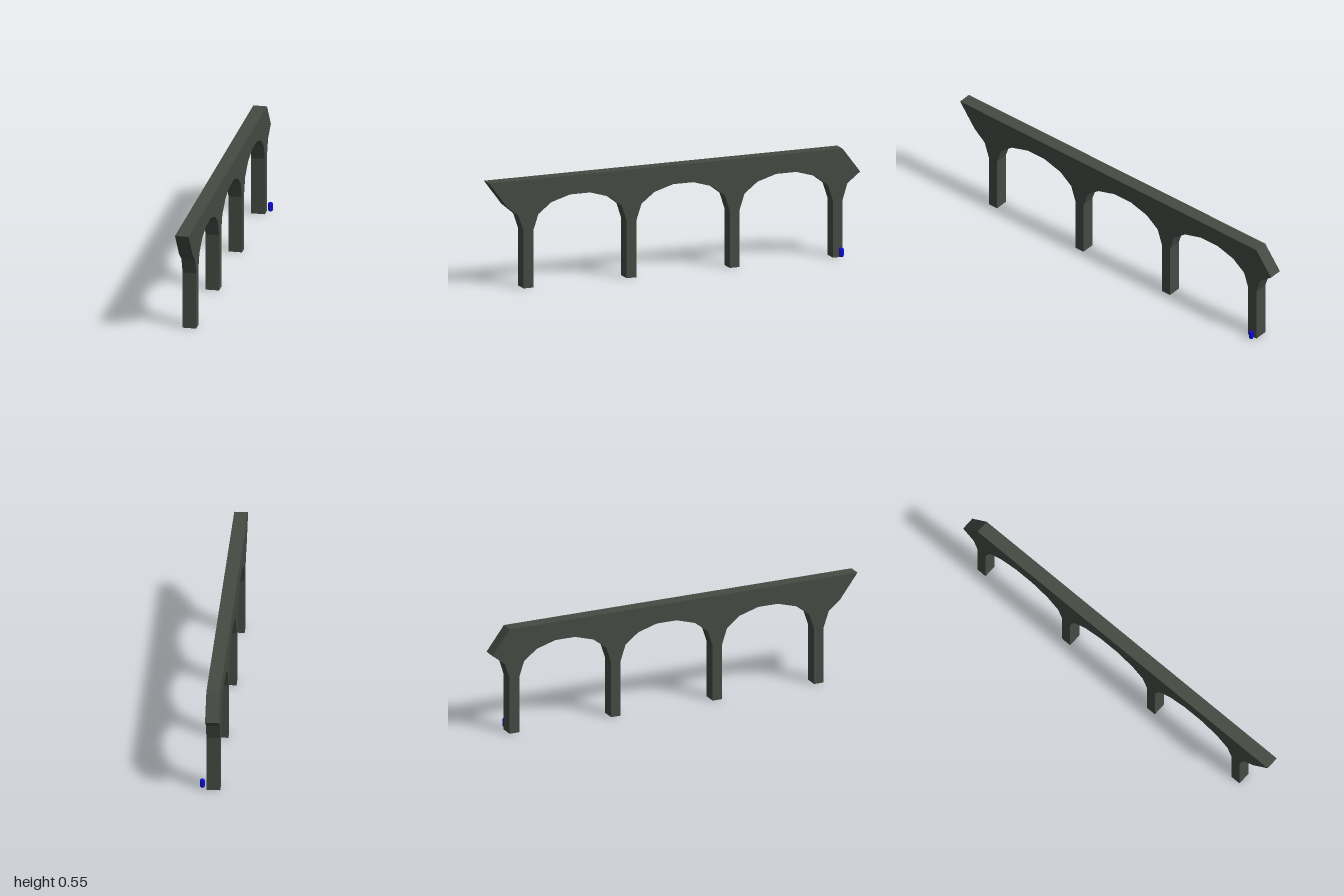
import * as THREE from 'three';

export function createModel() {
  const group = new THREE.Group();
  const stone = new THREE.MeshStandardMaterial({ color: 0x454a43 });
  stone.name = 'dark stone';
  const blue = new THREE.MeshStandardMaterial({ color: 0x0b0bdc });
  blue.name = 'blue';

  // Side profile of the viaduct: shape x runs along the model's z
  const pierWidth = 0.053, span = 0.556, firstPier = 0.815, lastPier = firstPier - 3 * span;
  const profile = [[1, 0.552], [0.906, 0.426], [0.842, 0.372], [firstPier, 0.292]];
  // Half of an arch: distance from its centre and height
  const arch = [[0.2515, 0.292], [0.225, 0.372], [0.155, 0.426], [0.054, 0.456]];
  for (let i = 0; i < 4; i++) {
    const front = firstPier - i * span;
    const back = front - pierWidth;
    profile.push([front, 0], [back, 0]);
    if (i === 3) break;
    const centre = (back + front - span) / 2;
    for (const [d, y] of arch) profile.push([centre + d, y]);
    for (const [d, y] of [...arch].reverse()) profile.push([centre - d, y]);
  }
  // Rear end, cut off as a slanted nose
  profile.push([lastPier - pierWidth, 0.292], [-0.931, 0.372], [-1, 0.426], [-0.905, 0.552]);

  const shape = new THREE.Shape(profile.map(([z, y]) => new THREE.Vector2(z, y)));
  const viaductGeometry = new THREE.ExtrudeGeometry(shape, { depth: 0.069, bevelEnabled: false });
  viaductGeometry.rotateY(-Math.PI / 2).translate(0.017, 0, 0);
  const viaduct = new THREE.Mesh(viaductGeometry, stone);
  viaduct.name = 'viaduct';
  group.add(viaduct);

  // Small capsule standing beside the rear pier for scale
  const figure = new THREE.Mesh(new THREE.CapsuleGeometry(0.0125, 0.0245, 8, 24), blue);
  figure.name = 'scaleFigure';
  figure.position.set(0.038, 0.0285, -0.89);
  group.add(figure);

  return group;
}
